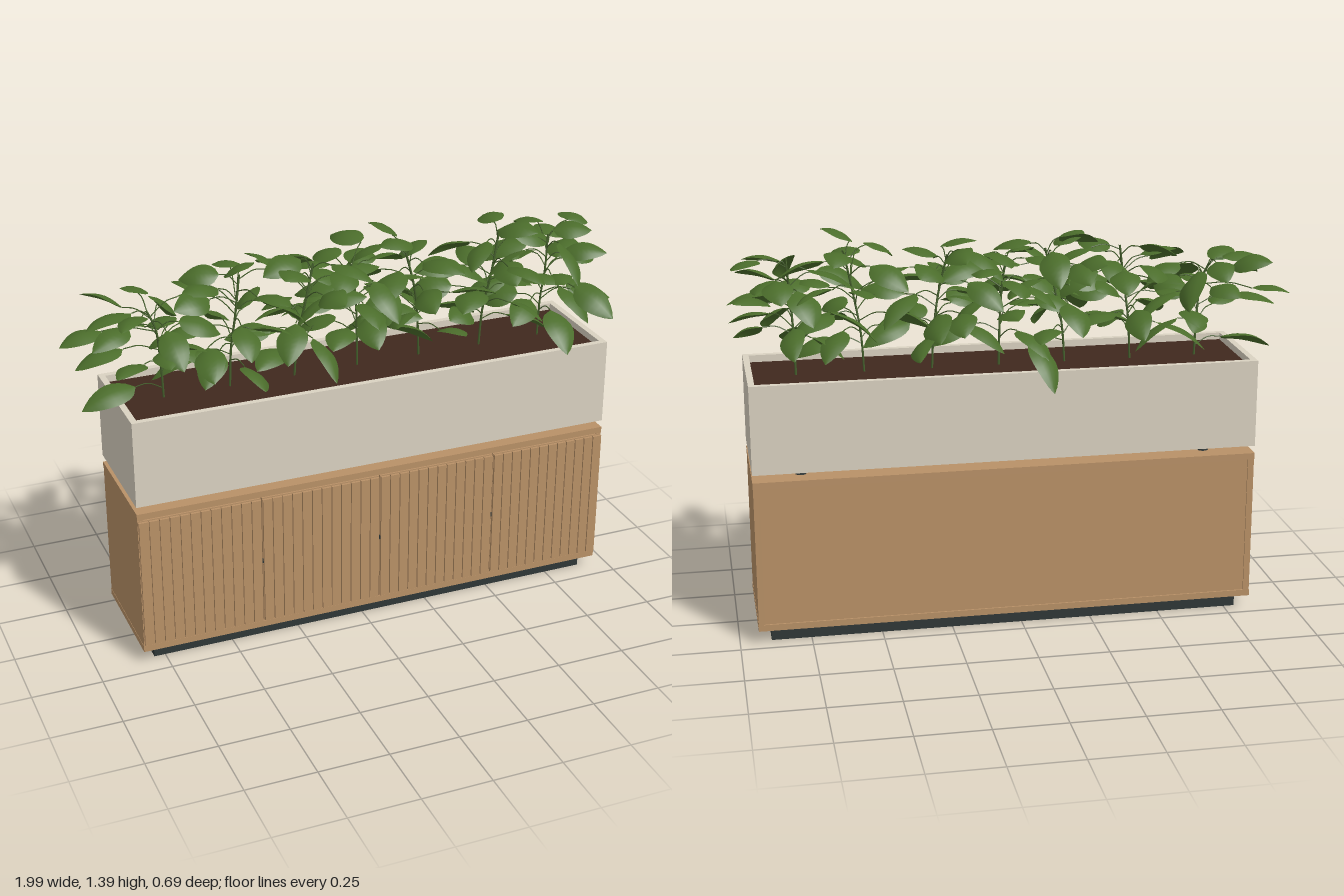
import * as THREE from 'three';
import { mergeGeometries } from 'three/addons/utils/BufferGeometryUtils.js';

const mat = (name, color, side = THREE.FrontSide) => {
  const m = new THREE.MeshStandardMaterial({ color, side });
  m.name = name;
  return m;
};
const V = (x, y, z) => new THREE.Vector3(x, y, z);

export function createModel() {
  const wood = mat('oak', 0xb99167);
  const stone = mat('pale stone', 0xdad2c1);
  const metal = mat('dark metal', 0x2f3737);
  const earth = mat('soil', 0x40281e);
  const green = mat('leaf green', 0x4b6d2b, THREE.DoubleSide);
  const stalk = mat('stem green', 0x45602c);

  const model = new THREE.Group();
  model.name = 'planterCabinet';
  const add = (name, geometry, material, parent = model) => {
    const mesh = new THREE.Mesh(geometry, material);
    mesh.name = name;
    parent.add(mesh);
    return mesh;
  };
  // Box from its low and high limits on each axis
  const box = (x0, x1, y0, y1, z0, z1) =>
    new THREE.BoxGeometry(x1 - x0, y1 - y0, z1 - z0)
      .translate((x0 + x1) / 2, (y0 + y1) / 2, (z0 + z1) / 2);

  const X0 = -0.835, X1 = 0.935, Z0 = -0.22, Z1 = 0.2, CX = 0.05;

  // Cabinet carcass
  add('plinth', box(-0.79, 0.89, 0, 0.05, -0.185, 0.165), metal);
  add('bottomBoard', box(X0, X1, 0.05, 0.073, Z0, Z1), wood);
  add('topBoard', box(X0, X1, 0.572, 0.595, Z0, Z1), wood);
  add('sideBoards', mergeGeometries([
    box(X0 + 0.001, X0 + 0.023, 0.073, 0.572, Z0 + 0.001, Z1 - 0.001),
    box(X1 - 0.023, X1 - 0.001, 0.073, 0.572, Z0 + 0.001, Z1 - 0.001),
  ]), wood);
  add('backPanel', box(X0 + 0.023, X1 - 0.023, 0.073, 0.572, Z0 + 0.006, Z0 + 0.018), wood);

  // Four slatted doors
  const doorW = (X1 - X0) / 4, slats = 12;
  for (let i = 0; i < 4; i++) {
    const a = X0 + i * doorW + 0.002, b = a + doorW - 0.004;
    const parts = [box(a, b, 0.076, 0.569, 0.19, 0.201)];
    const pitch = (b - a) / slats;
    for (let k = 0; k < slats; k++) {
      const c = a + (k + 0.5) * pitch;
      parts.push(box(c - pitch * 0.45, c + pitch * 0.45, 0.08, 0.565, 0.201, 0.21));
    }
    add('slattedDoor', mergeGeometries(parts), wood);
    if (i) add('doorCatch', box(a - 0.004, a, 0.315, 0.33, 0.19, 0.207), metal);
  }

  // Trough with a dark underside on four small feet
  for (const x of [-0.665, 0.765]) for (const z of [0.122, -0.142]) {
    add('foot', new THREE.CylinderGeometry(0.016, 0.02, 0.028, 16), metal).position.set(x, 0.608, z);
  }
  const t = 0.022;
  const rim = new THREE.Shape([
    new THREE.Vector2(X0, -Z1), new THREE.Vector2(X1, -Z1),
    new THREE.Vector2(X1, -Z0), new THREE.Vector2(X0, -Z0)]);
  rim.holes.push(new THREE.Path([
    new THREE.Vector2(X0 + t, -Z1 + t), new THREE.Vector2(X0 + t, -Z0 - t),
    new THREE.Vector2(X1 - t, -Z0 - t), new THREE.Vector2(X1 - t, -Z1 + t)]));
  add('troughWalls', new THREE.ExtrudeGeometry(rim, { depth: 0.313, bevelEnabled: false })
    .rotateX(-Math.PI / 2).translate(0, 0.622, 0), stone);
  add('troughBase', box(X0 + t, X1 - t, 0.622, 0.645, Z0 + t, Z1 - t), metal);
  add('soil', box(X0 + t, X1 - t, 0.645, 0.91, Z0 + t, Z1 - t), earth);

  // Ovate leaf, arched along its length, folded along the midrib and rolled about it
  const leaf = (base, tip, width, roll) => {
    const g = new THREE.PlaneGeometry(1, 1, 4, 9);
    const d = tip.clone().sub(base), len = d.length();
    const dir = d.clone().normalize();
    const side = dir.clone().cross(V(0, 1, 0)).normalize().applyAxisAngle(dir, roll);
    const up = side.clone().cross(dir);
    const p = g.attributes.position;
    for (let i = 0; i < p.count; i++) {
      const u = p.getX(i) * 2, s = p.getY(i) + 0.5;
      const w = 0.5 * width * Math.pow(Math.max(0, Math.sin(Math.PI * Math.pow(s, 0.8))), 0.8);
      const lift = 0.13 * len * Math.sin(Math.PI * s) - 0.28 * w * u * u;
      const q = base.clone().addScaledVector(d, s).addScaledVector(side, u * w).addScaledVector(up, lift);
      p.setXYZ(i, q.x, q.y, q.z);
    }
    g.computeVertexNormals();
    return g;
  };
  const twig = (points, radius, steps = 6) =>
    new THREE.TubeGeometry(new THREE.CatmullRomCurve3(points), steps, radius, 5);

  let seed = 17;
  const rnd = (lo, hi) => {
    seed = (seed * 16807) % 2147483647;
    return lo + (hi - lo) * seed / 2147483647;
  };

  // Seven plants: stem height and sideways lean
  const plants = [[1.24, -0.05], [1.32, 0.04], [1.32, 0.07], [1.3, -0.03],
    [1.31, -0.06], [1.33, 0.06], [1.3, 0.02]];
  // Outer leaves: base then tip
  const outer = [
    [[-0.85, 1.16, -0.07, -1, 1.13, -0.05], [-0.76, 0.97, 0, -0.955, 0.92, 0.02],
      [-0.77, 1.25, 0.03, -0.94, 1.23, 0.08], [-0.6, 1.11, -0.14, -0.6, 1.08, -0.28]],
    [[-0.46, 1.28, 0, -0.6, 1.29, 0.04], [-0.35, 1.27, -0.19, -0.33, 1.22, -0.345],
      [-0.55, 1.14, 0.15, -0.58, 1.08, 0.31], [-0.47, 1.26, -0.1, -0.45, 1.24, -0.27]],
    [[-0.04, 1.03, -0.16, -0.09, 0.88, -0.31], [-0.17, 1.35, 0.02, -0.32, 1.32, 0.06],
      [-0.2, 1.28, -0.1, -0.22, 1.24, -0.27]],
    [[0.04, 1.25, -0.18, 0.02, 1.22, -0.33], [0.02, 1.16, 0.15, 0, 1.1, 0.3],
      [0.1, 1.33, -0.1, 0.05, 1.31, -0.26]],
    [[0.25, 1.34, 0, 0.12, 1.35, 0.02], [0.2, 1.13, -0.13, 0.21, 1.08, -0.27],
      [0.22, 1.34, -0.1, 0.2, 1.33, -0.26]],
    [[0.56, 1.36, 0.04, 0.65, 1.38, 0.17], [0.53, 1.28, 0.19, 0.59, 1.26, 0.345]],
    [[0.85, 1.2, 0, 0.99, 1.17, -0.03], [0.84, 1.11, 0.08, 0.98, 1.07, 0.12],
      [0.8, 1.16, 0.18, 0.88, 1.08, 0.32], [0.83, 1.28, -0.17, 0.82, 1.23, -0.32],
      [0.8, 1.31, 0, 0.93, 1.31, 0.05]],
  ];

  plants.forEach(([top, lean], n) => {
    const plant = new THREE.Group();
    plant.name = 'plant';
    model.add(plant);
    const x = CX + (n - 3) * 0.237;
    const stem = new THREE.CatmullRomCurve3([
      V(x, 0.9, -0.01), V(x + lean * 0.15, 1.05, -0.005),
      V(x + lean * 0.5, 1.18, 0.01), V(x + lean, top, 0)]);
    const twigs = [new THREE.TubeGeometry(stem, 12, 0.004, 6)];
    const leaves = [];
    const grow = (node, base, tip, width, roll) => {
      const mid = node.clone().lerp(base, 0.55).add(V(0, 0.015, 0));
      twigs.push(twig([node, mid, base], 0.002));
      leaves.push(leaf(base, tip, width, roll));
    };
    // Leaves spiral up the stem
    const count = 16;
    for (let i = 0; i < count; i++) {
      const h = i / (count - 1);
      const node = stem.getPoint(0.24 + 0.72 * h);
      const a = i * 2.4 + n * 1.3 + rnd(-0.3, 0.3);
      const out = V(Math.cos(a), 0, Math.sin(a));
      const base = node.clone().addScaledVector(out, rnd(0.06, 0.14) * (1 - 0.15 * h));
      base.y += rnd(0.01, 0.05);
      const tip = base.clone().addScaledVector(out, rnd(0.14, 0.18));
      tip.y += rnd(-0.11, 0.03);
      tip.x = THREE.MathUtils.clamp(tip.x, -0.97, 0.97);
      tip.z = THREE.MathUtils.clamp(tip.z, -0.31, 0.31);
      grow(node, base, tip, rnd(0.09, 0.12), rnd(-0.6, 0.6));
    }
    for (const [bx, by, bz, tx, ty, tz] of outer[n]) {
      const k = THREE.MathUtils.clamp((by - 0.95) / (top - 0.9), 0.1, 0.98);
      grow(stem.getPoint(k), V(bx, by, bz), V(tx, ty, tz), 0.105, rnd(-0.5, 0.5));
    }
    add('stems', mergeGeometries(twigs), stalk, plant);
    add('leaves', mergeGeometries(leaves), green, plant);
  });

  return model;
}
